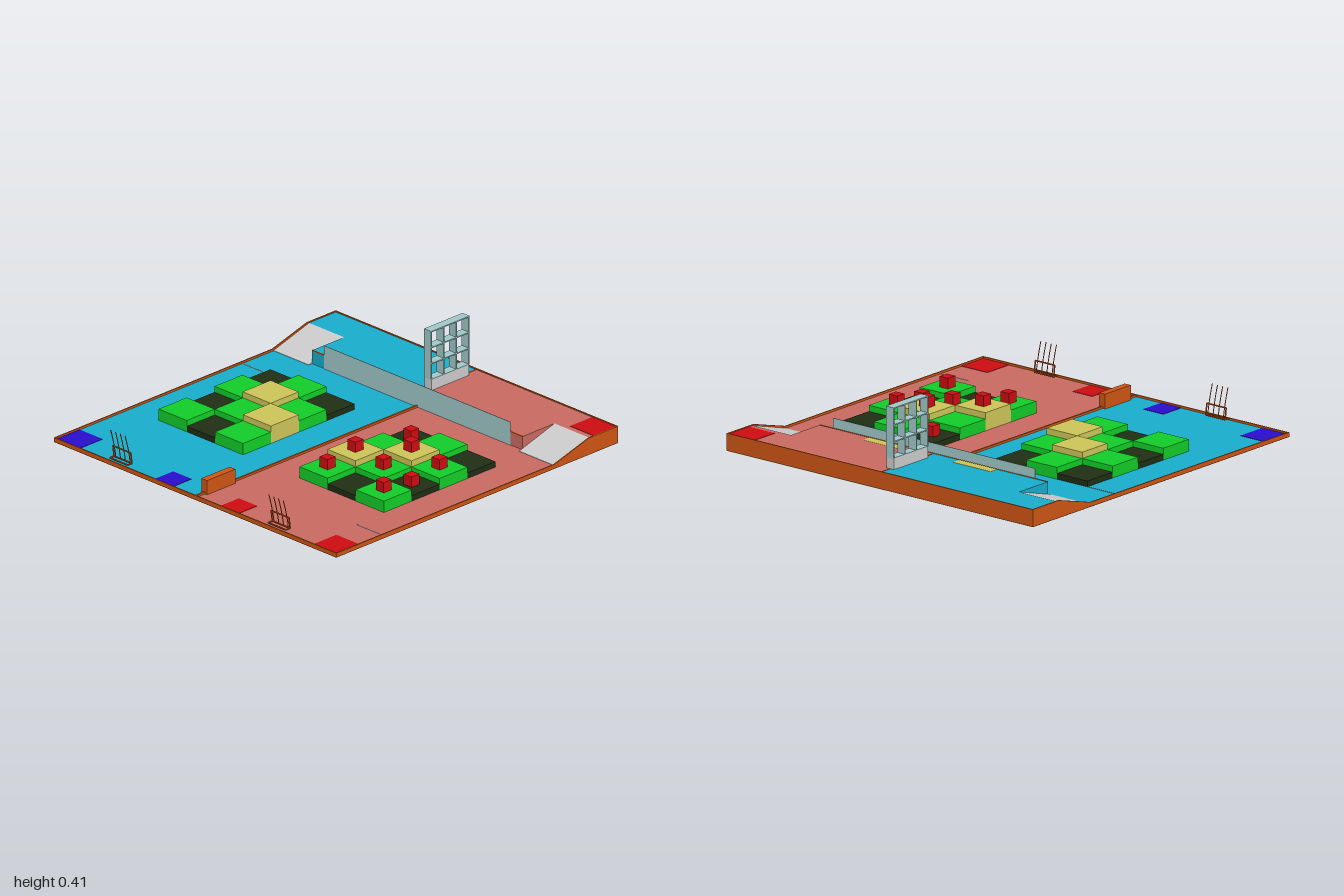
import * as THREE from 'three';

const mat = (color) => new THREE.MeshStandardMaterial({ color, side: THREE.DoubleSide });
const M = {
  orange: mat(0xcd5514), blue: mat(0x18accc), pink: mat(0xc86a62), green: mat(0x12cc28),
  dark: mat(0x1e2e14), yellow: mat(0xccc458), red: mat(0xcc0c12), navy: mat(0x2a0ccc),
  glass: mat(0xa0c8c8), grey: mat(0xcccccc),
};
const FLOOR = 0.013, DECK = 0.083, DECK_FRONT = -0.575, RAMP_TOP = -0.8;

export function createModel() {
  const root = new THREE.Group();
  root.name = 'playingField';

  const add = (name, geo, material, parent = root) => {
    const m = new THREE.Mesh(geo, material);
    m.name = name;
    parent.add(m);
    return m;
  };
  // box given by its limits
  const box = (name, material, x0, x1, y0, y1, z0, z1, parent) => {
    const g = new THREE.BoxGeometry(Math.abs(x1 - x0), y1 - y0, z1 - z0);
    g.translate((x0 + x1) / 2, (y0 + y1) / 2, (z0 + z1) / 2);
    return add(name, g, material, parent);
  };
  // (z, y) profile extruded between two x positions
  const profile = (name, material, pts, x0, x1) => {
    const shape = new THREE.Shape(pts.map(([z, y]) => new THREE.Vector2(z, y)));
    const g = new THREE.ExtrudeGeometry(shape, { depth: Math.abs(x1 - x0), bevelEnabled: false });
    g.rotateY(-Math.PI / 2).translate(Math.max(x0, x1), 0, 0);
    return add(name, g, material);
  };
  const rod = (name, a, b, r, parent) => {
    const path = new THREE.LineCurve3(new THREE.Vector3(...a), new THREE.Vector3(...b));
    return add(name, new THREE.TubeGeometry(path, 1, r, 6), M.orange, parent);
  };

  // underside, two halves split along the diagonal
  const underside = (name, material, corners) => {
    const g = new THREE.BufferGeometry().setFromPoints(corners.map(([x, z]) => new THREE.Vector3(x, 0, z)));
    g.computeVertexNormals();
    add(name, g, material);
  };
  underside('undersideBack', M.grey, [[-1, -0.995], [1, -0.995], [1, 0.995]]);
  underside('undersideFront', M.orange, [[-1, -0.995], [1, 0.995], [-1, 0.995]]);

  // each half: floor, raised deck, ramp and side wall
  for (const s of [-1, 1]) {
    const side = s < 0 ? 'right' : 'left';
    const colour = s < 0 ? M.blue : M.pink;
    box(side + 'Floor', colour, 0, s * 0.993, 0.002, FLOOR, DECK_FRONT, 0.99);
    box(side + 'Deck', colour, 0, s * 0.745, 0.002, DECK + 0.004, -0.99, DECK_FRONT);
    box(side + 'DeckCorner', colour, s * 0.745, s * 0.993, 0.002, DECK + 0.004, -0.99, RAMP_TOP);
    profile(side + 'Ramp', M.grey,
      [[-0.55, 0.002], [-0.55, FLOOR + 0.002], [RAMP_TOP, DECK + 0.004], [RAMP_TOP, 0.002]], s * 0.745, s * 0.993);
    profile(side + 'Wall', M.orange,
      [[0.995, 0.001], [0.995, 0.024], [-0.545, 0.024], [-0.79, 0.092], [-0.995, 0.092], [-0.995, 0.001]],
      s * 0.993, s);
    box(side + 'DeckEdge', M.orange, 0, s * 0.745, DECK, DECK + 0.006, DECK_FRONT - 0.004, DECK_FRONT + 0.002);
    box(side + 'DeckMark', M.yellow, s * 0.17, s * 0.415, DECK, DECK + 0.005, -0.63, DECK_FRONT - 0.005);
  }
  box('frontWall', M.orange, -1, 1, 0.001, 0.024, 0.988, 0.995);
  box('backWall', M.orange, -1, 1, 0.001, 0.092, -0.995, -0.988);

  // divider, its end post and the deck screen
  box('divider', M.orange, -0.005, 0.005, FLOOR, 0.024, DECK_FRONT, 0.988);
  box('deckDivider', M.orange, -0.003, 0.003, DECK, DECK + 0.006, -0.988, DECK_FRONT);
  box('dividerPost', M.orange, -0.02, 0.02, FLOOR, 0.091, 0.73, 0.93);
  box('deckScreen', M.glass, -0.66, 0.66, FLOOR, 0.14, DECK_FRONT, DECK_FRONT + 0.003);

  // floor marks
  const marks = [
    ['deckZone', M.red, 0.825, 0.993, -0.988, -0.83, DECK + 0.004],
    ['cornerZone', M.red, 0.825, 0.993, 0.82, 0.988, FLOOR],
    ['innerZone', M.red, 0.165, 0.295, 0.85, 0.988, FLOOR],
    ['cornerZone', M.navy, -0.993, -0.83, 0.82, 0.988, FLOOR],
    ['innerZone', M.navy, -0.3, -0.17, 0.85, 0.988, FLOOR],
    ['floorLine', M.grey, -0.993, -0.8, -0.333, -0.329, FLOOR],
    ['floorLine', M.grey, 0.81, 0.993, 0.654, 0.658, FLOOR],
  ];
  for (const [n, m, x0, x1, z0, z1, y] of marks) box(n, m, x0, x1, y, y + 0.002, z0, z1);

  // stepped tiles, rows from back to front, and cubes on the left half
  const kinds = { B: [M.dark, 0.043], G: [M.green, 0.075], Y: [M.yellow, 0.108] };
  const layouts = [
    { name: 'rightTiles', x: -0.797, rows: ['BGB', 'GYG', 'BGY', 'GBG'], cubes: ['...', '...', '...', '...'] },
    { name: 'leftTiles', x: 0.2, rows: ['BGB', 'GYG', 'YGB', 'GBG'], cubes: ['o..', '.oo', 'ooo', 'o.o'] },
  ];
  const T = 0.199, TZ = 0.197;
  for (const { name, x, rows, cubes } of layouts) {
    const group = new THREE.Group();
    group.name = name;
    root.add(group);
    rows.forEach((row, r) => [...row].forEach((k, c) => {
      const [material, top] = kinds[k];
      const x0 = x + c * T, z0 = -0.331 + r * TZ;
      box('tile', material, x0, x0 + T, FLOOR, top, z0, z0 + TZ, group);
      if (cubes[r][c] === 'o') {
        const cx = x0 + T / 2, cz = z0 + TZ / 2, h = 0.028;
        box('cube', M.red, cx - h, cx + h, top, top + 2 * h, cz - h, cz + h, group);
      }
    }));
  }

  // open 3 x 3 shelf tower on a solid base
  const tower = new THREE.Group();
  tower.name = 'shelfTower';
  root.add(tower);
  const zB = -0.915, zF = -0.65, yB = 0.145, yT = 0.408, t = 0.003;
  box('towerBase', M.grey, -0.025, 0.025, DECK, yB, zB, zF, tower);
  for (let i = 0; i < 4; i++) {
    const y = yB + (yT - yB) * i / 3, z = zB + (zF - zB) * i / 3;
    box('shelf', M.glass, -0.025, 0.025, y - t, y + t, zB, zF, tower);
    box('upright', M.glass, -0.025, 0.025, yB, yT + t, z - t, z + t, tower);
  }

  // wire racks at the front edge
  for (const s of [-1, 1]) {
    const rack = new THREE.Group();
    rack.name = s < 0 ? 'rightRack' : 'leftRack';
    root.add(rack);
    const a = s * 0.56 - 0.063, b = s * 0.56 + 0.063;
    for (const [y, z] of [[0.027, 0.945], [0.086, 0.953], [0.027, 0.975]])
      rod('rackBar', [a, y, z], [b, y, z], 0.004, rack);
    for (const x of [a, b]) {
      rod('rackSide', [x, 0.027, 0.945], [x, 0.086, 0.953], 0.004, rack);
      rod('rackFoot', [x, 0.027, 0.945], [x, 0.027, 0.975], 0.004, rack);
    }
    for (let i = 0; i < 4; i++) {
      const x = a + 0.012 + i * 0.034;
      const curve = new THREE.QuadraticBezierCurve3(
        new THREE.Vector3(x, 0.027, 0.945), new THREE.Vector3(x, 0.1, 0.955), new THREE.Vector3(x, 0.184, 0.981));
      add('rackProng', new THREE.TubeGeometry(curve, 6, 0.0025, 6), M.orange, rack);
    }
  }
  return root;
}
